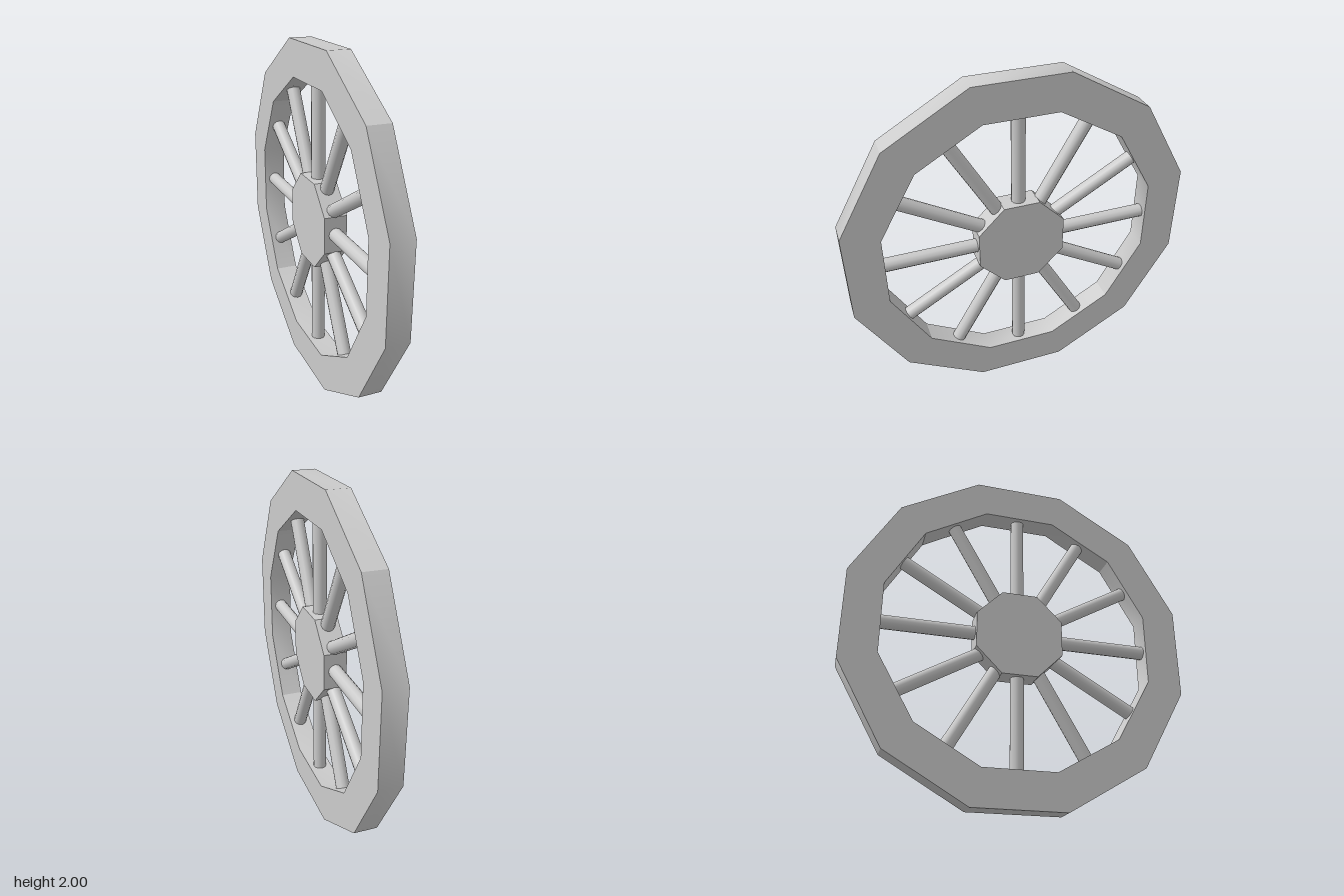
import * as THREE from 'three';
import { mergeGeometries } from 'three/addons/utils/BufferGeometryUtils.js';

const WIDTH = 0.134;
const CORNER = 1 / Math.cos(Math.PI / 12); // apothem to corner radius of a 12-gon
const OUTER = CORNER;
const INNER = 0.79 * CORNER;

// One quarter of a 12-sided wall, smooth across its three facets;
// a negative sweep makes it face inward.
function quarterWall(radius, start, sweep) {
  const wall = new THREE.CylinderGeometry(radius, radius, WIDTH, 3, 1, true, start, sweep);
  wall.computeVertexNormals();
  return wall.rotateZ(Math.PI / 2);
}

// Flat annular side of the rim, facing +x or -x
function rimSide(sign) {
  return new THREE.RingGeometry(INNER, OUTER, 12, 1, Math.PI / 12)
    .rotateY(sign * Math.PI / 2)
    .translate(sign * WIDTH / 2, 0, 0);
}

export function createModel() {
  const model = new THREE.Group();
  model.name = 'spokedWheel';
  const smooth = new THREE.MeshStandardMaterial({ color: 0xcccccc });
  const faceted = new THREE.MeshStandardMaterial({ color: 0xcccccc, flatShading: true });

  const add = (name, geometry, material) => {
    const mesh = new THREE.Mesh(geometry, material);
    mesh.name = name;
    mesh.position.y = 1;
    model.add(mesh);
    return mesh;
  };

  // Twelve-sided rim: two flat sides plus outer and inner walls
  const parts = [rimSide(1), rimSide(-1)];
  for (let i = 0; i < 4; i++) {
    const start = Math.PI / 4 + i * Math.PI / 2;
    parts.push(quarterWall(OUTER, start, Math.PI / 2));
    parts.push(quarterWall(INNER, start, -Math.PI / 2));
  }
  add('rim', mergeGeometries(parts), smooth);

  // Octagonal hub with a flat on top
  const hubRadius = 0.255 / Math.cos(Math.PI / 8);
  const hub = new THREE.CylinderGeometry(hubRadius, hubRadius, WIDTH, 8, 1, false, Math.PI / 8);
  add('hub', hub.rotateZ(Math.PI / 2), faceted);

  // Round spokes, sunk slightly into hub and rim
  const from = 0.22, to = 0.81;
  const spoke = new THREE.CylinderGeometry(0.04, 0.04, to - from, 12)
    .translate(0, (from + to) / 2, 0);
  for (let i = 0; i < 12; i++) {
    add('spoke' + (i + 1), spoke, smooth).rotation.x = i * Math.PI / 6;
  }
  return model;
}
